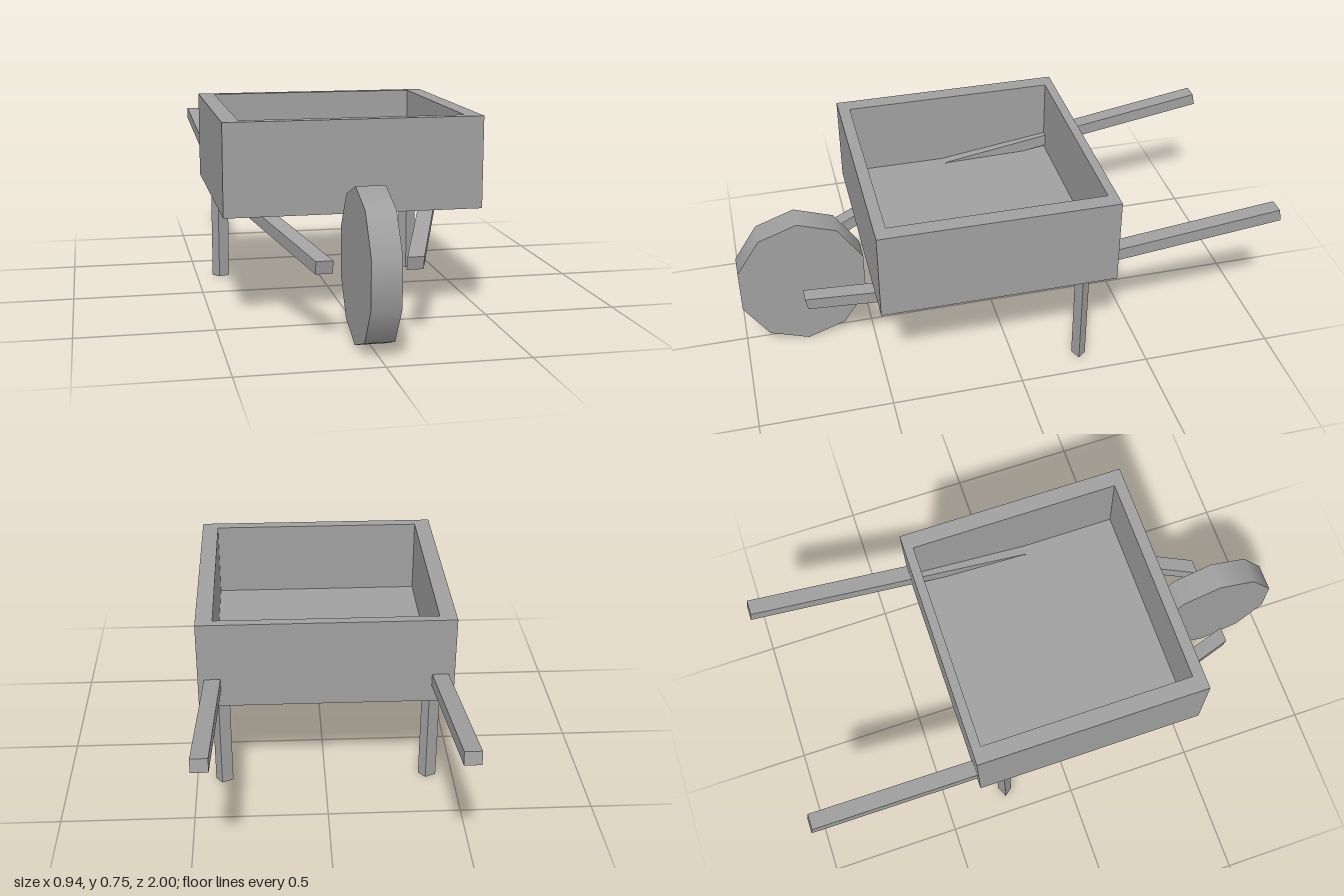
import * as THREE from 'three';

export function createModel() {
  const model = new THREE.Group();
  model.name = 'wheelbarrow';
  const grey = new THREE.MeshStandardMaterial({ color: 0xa0a0a0 });
  grey.name = 'plain grey';

  const add = (name, geometry, x = 0, y = 0, z = 0) => {
    const mesh = new THREE.Mesh(geometry, grey);
    mesh.name = name;
    mesh.position.set(x, y, z);
    model.add(mesh);
    return mesh;
  };

  // Box from its minimum and maximum corners
  const board = (name, [x0, y0, z0], [x1, y1, z1]) =>
    add(name, new THREE.BoxGeometry(x1 - x0, y1 - y0, z1 - z0),
      (x0 + x1) / 2, (y0 + y1) / 2, (z0 + z1) / 2);

  // Tray: floor between four upright boards
  board('trayFloor', [-0.47, 0.408, -0.33], [0.47, 0.455, 0.476]);
  board('trayFront', [-0.47, 0.408, 0.476], [0.47, 0.745, 0.52]);
  board('trayBack', [-0.47, 0.408, -0.365], [0.47, 0.745, -0.33]);
  board('trayLeftSide', [0.408, 0.455, -0.33], [0.47, 0.745, 0.476]);
  board('trayRightSide', [-0.47, 0.455, -0.33], [-0.408, 0.745, 0.476]);

  // Ten-sided wheel with a smooth rim, standing on a corner
  const wheel = new THREE.CylinderGeometry(0.2765, 0.2765, 0.104, 10, 1, false, Math.PI / 2);
  wheel.rotateZ(Math.PI / 2);
  wheel.scale(1, 1, 0.912);
  add('wheel', wheel, 0, 0.2765, 0.76);

  // Bent handle: square bar through three centres, from grip to wheel
  const path = [[0.437, 0.584, -0.994], [0.402, 0.434, 0.09], [0.158, 0.279, 0.762]];
  const corners = [[-1, -1], [1, -1], [1, 1], [-1, 1]];
  const handleGeometry = (side) => {
    const rings = path.map(([x, y, z]) => corners.map(([a, b]) =>
      [side * x + a * 0.03, y + b * 0.0235, z + b * 0.005]));
    const points = [];
    const quad = (a, b, c, d) => points.push(...a, ...b, ...c, ...a, ...c, ...d);
    for (let r = 0; r < 2; r++) {
      for (let i = 0; i < 4; i++) {
        const j = (i + 1) % 4;
        quad(rings[r][i], rings[r][j], rings[r + 1][j], rings[r + 1][i]);
      }
    }
    quad(rings[0][3], rings[0][2], rings[0][1], rings[0][0]);
    quad(...rings[2]);
    const geometry = new THREE.BufferGeometry();
    geometry.setAttribute('position', new THREE.Float32BufferAttribute(points, 3));
    geometry.computeVertexNormals();
    return geometry;
  };
  add('leftHandle', handleGeometry(1));
  add('rightHandle', handleGeometry(-1));

  // Four-sided legs, both turned the same way
  const leg = new THREE.CylinderGeometry(0.0345, 0.0345, 0.42, 4, 1, false, -0.249).toNonIndexed();
  leg.scale(1, 1, 0.75);
  leg.computeVertexNormals();
  add('leftLeg', leg, 0.3935, 0.21, -0.255);
  add('rightLeg', leg, -0.4015, 0.21, -0.255);

  return model;
}
